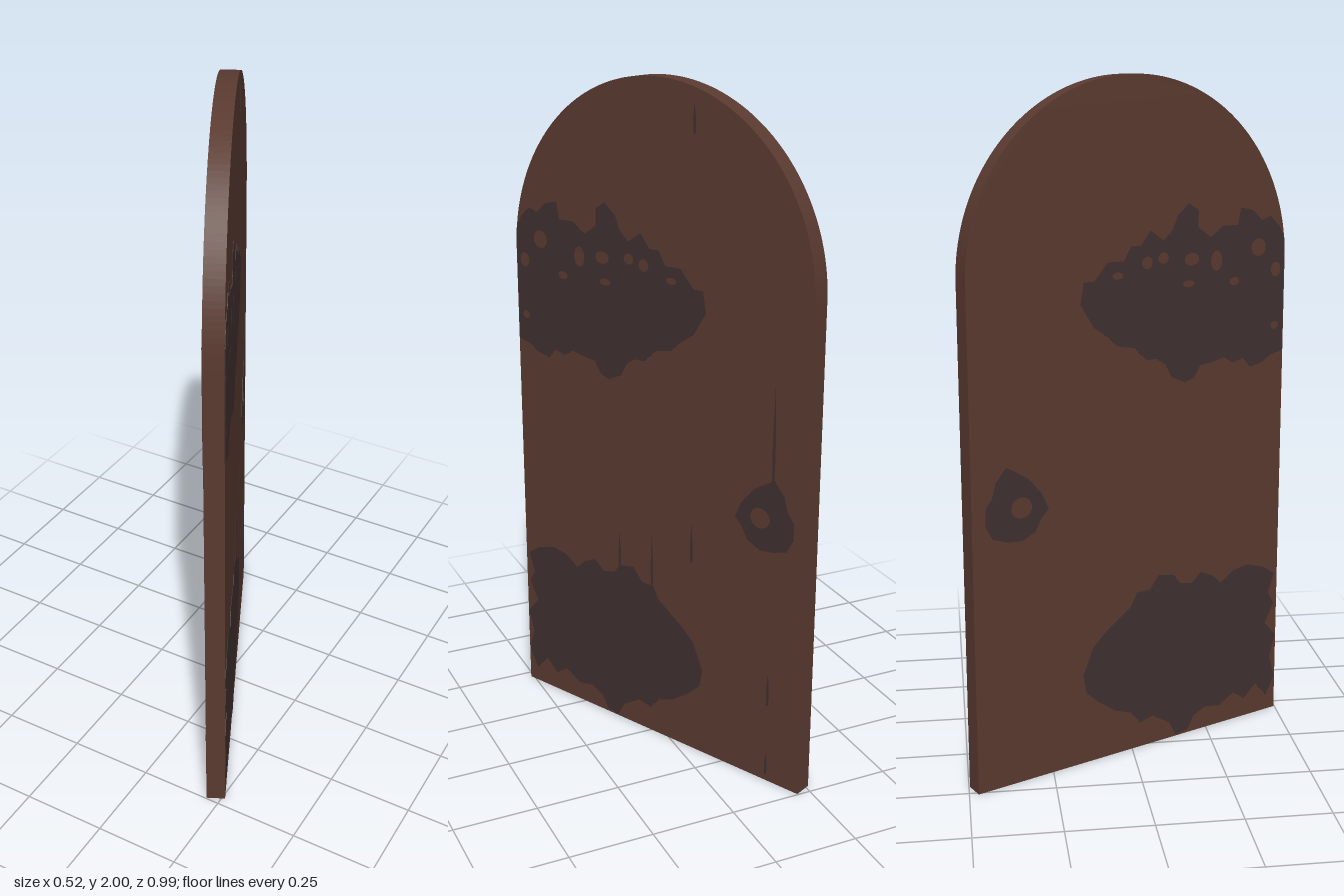
import * as THREE from 'three';

const R = 0.539, SPRING = 1.461, T = 0.055;

export function createModel() {
  const wood = new THREE.MeshStandardMaterial({ color: 0x5a3a30 });
  wood.name = 'brown wood';
  const iron = new THREE.MeshStandardMaterial({ color: 0x403031 });
  iron.name = 'dark iron';

  const door = new THREE.Group();
  door.name = 'archedDoor';

  // Slab with a half-round top
  const outline = new THREE.Shape();
  outline.moveTo(-R, 0);
  outline.lineTo(R, 0);
  outline.lineTo(R, SPRING);
  outline.absarc(0, SPRING, R, 0, Math.PI, false);
  outline.closePath();
  const slabGeo = new THREE.ExtrudeGeometry(outline, { depth: T, bevelEnabled: false, curveSegments: 48 });
  slabGeo.translate(0, 0, -T / 2);
  const slab = new THREE.Mesh(slabGeo, wood);
  slab.name = 'doorSlab';
  door.add(slab);

  // Flat iron pieces lying on a face: side +1 is the front face, -1 the back
  const plate = (shape, name, side) => {
    const geo = new THREE.ExtrudeGeometry(shape, { depth: 0.002, bevelEnabled: false, curveSegments: 10 });
    geo.translate(0, 0, side > 0 ? T / 2 - 0.0005 : -T / 2 - 0.0015);
    const mesh = new THREE.Mesh(geo, iron);
    mesh.name = name;
    door.add(mesh);
  };
  // Points run [distance across, height]; across is stretched to the slab's width
  const blob = (pts, holes = []) => {
    const across = (a) => Math.min((a + 0.0135) / 0.9, R - 0.003);
    const s = new THREE.Shape(pts.map(([a, y]) => new THREE.Vector2(across(a), y)));
    for (const [a, y, rx, ry] of holes) {
      const h = new THREE.Path();
      h.absellipse(across(a), y, rx, ry, 0, Math.PI * 2, true, 0);
      s.holes.push(h);
    }
    return s;
  };

  // Ornate upper strap hinge with pierced scrollwork
  const upper = blob([
    [0.47, 1.18], [0.43, 1.17], [0.4, 1.15], [0.36, 1.14], [0.335, 1.17], [0.3, 1.16], [0.27, 1.18],
    [0.23, 1.17], [0.19, 1.165], [0.17, 1.13], [0.14, 1.12], [0.1, 1.14], [0.08, 1.18], [0.05, 1.2],
    [0.02, 1.2], [-0.02, 1.24], [-0.07, 1.25], [-0.1, 1.28], [-0.14, 1.31], [-0.18, 1.38], [-0.17, 1.44],
    [-0.14, 1.44], [-0.1, 1.49], [-0.05, 1.49], [-0.03, 1.53], [0, 1.53], [0.03, 1.57], [0.07, 1.54],
    [0.1, 1.57], [0.115, 1.61], [0.15, 1.64], [0.18, 1.62], [0.18, 1.57], [0.22, 1.54], [0.26, 1.57],
    [0.31, 1.57], [0.32, 1.62], [0.36, 1.61], [0.39, 1.58], [0.42, 1.59], [0.45, 1.56], [0.47, 1.52],
  ], [
    [0.38, 1.5, 0.027, 0.026], [0.16, 1.48, 0.026, 0.018], [0.24, 1.47, 0.02, 0.03], [0.07, 1.49, 0.018, 0.016],
    [0.02, 1.48, 0.018, 0.018], [-0.07, 1.45, 0.018, 0.01], [0.44, 1.43, 0.018, 0.022], [0.3, 1.405, 0.018, 0.012],
    [0.15, 1.41, 0.02, 0.01], [0.44, 1.26, 0.014, 0.012],
  ]);
  // Lower strap hinge
  const lower = blob([
    [0.47, 0.11], [0.44, 0.05], [0.4, 0.1], [0.36, 0.06], [0.32, 0.09], [0.27, 0.06], [0.22, 0.07],
    [0.18, 0.05], [0.16, 0.01], [0.12, 0.005], [0.1, 0.05], [0.04, 0.09], [0, 0.08], [-0.03, 0.12],
    [-0.08, 0.14], [-0.13, 0.18], [-0.17, 0.22], [-0.18, 0.28], [-0.15, 0.36], [-0.11, 0.4], [-0.07, 0.43],
    [-0.03, 0.46], [-0.01, 0.5], [0.03, 0.5], [0.06, 0.54], [0.11, 0.53], [0.13, 0.5], [0.17, 0.49],
    [0.2, 0.52], [0.24, 0.5], [0.27, 0.47], [0.31, 0.5], [0.36, 0.51], [0.42, 0.49], [0.46, 0.46],
    [0.44, 0.4], [0.46, 0.36], [0.43, 0.3], [0.47, 0.25], [0.45, 0.18],
  ]);
  // Ring-handle plate
  const handle = blob([
    [-0.36, 0.73], [-0.32, 0.75], [-0.3, 0.79], [-0.28, 0.81], [-0.3, 0.86], [-0.34, 0.91], [-0.37, 0.93],
    [-0.4, 0.95], [-0.43, 0.91], [-0.44, 0.87], [-0.46, 0.84], [-0.46, 0.79], [-0.44, 0.75], [-0.4, 0.735],
  ], [[-0.358, 0.827, 0.034, 0.03]]);

  for (const side of [1, -1]) {
    plate(upper, 'upperHinge', side);
    plate(lower, 'lowerHinge', side);
    plate(handle, 'handlePlate', side);
  }

  // Narrow gaps between the boards: [across, bottom, top]
  for (const [a, y0, y1] of [
    [-0.395, 0.9, 1.22], [-0.395, 0.25, 0.35], [-0.395, 0.02, 0.09], [-0.14, 0.62, 0.74],
    [-0.14, 1.86, 1.94], [-0.005, 0.48, 0.66], [0.11, 0.5, 0.64],
  ]) {
    plate(blob([[a - 0.003, y0], [a + 0.003, y0], [a + 0.004, (y0 + y1) / 2], [a, y1], [a - 0.004, (y0 + y1) / 2]]), 'boardGap', -1);
  }

  // The door stands ajar
  door.rotation.y = -1.12;
  const model = new THREE.Group();
  model.name = 'door';
  model.add(door);
  return model;
}
